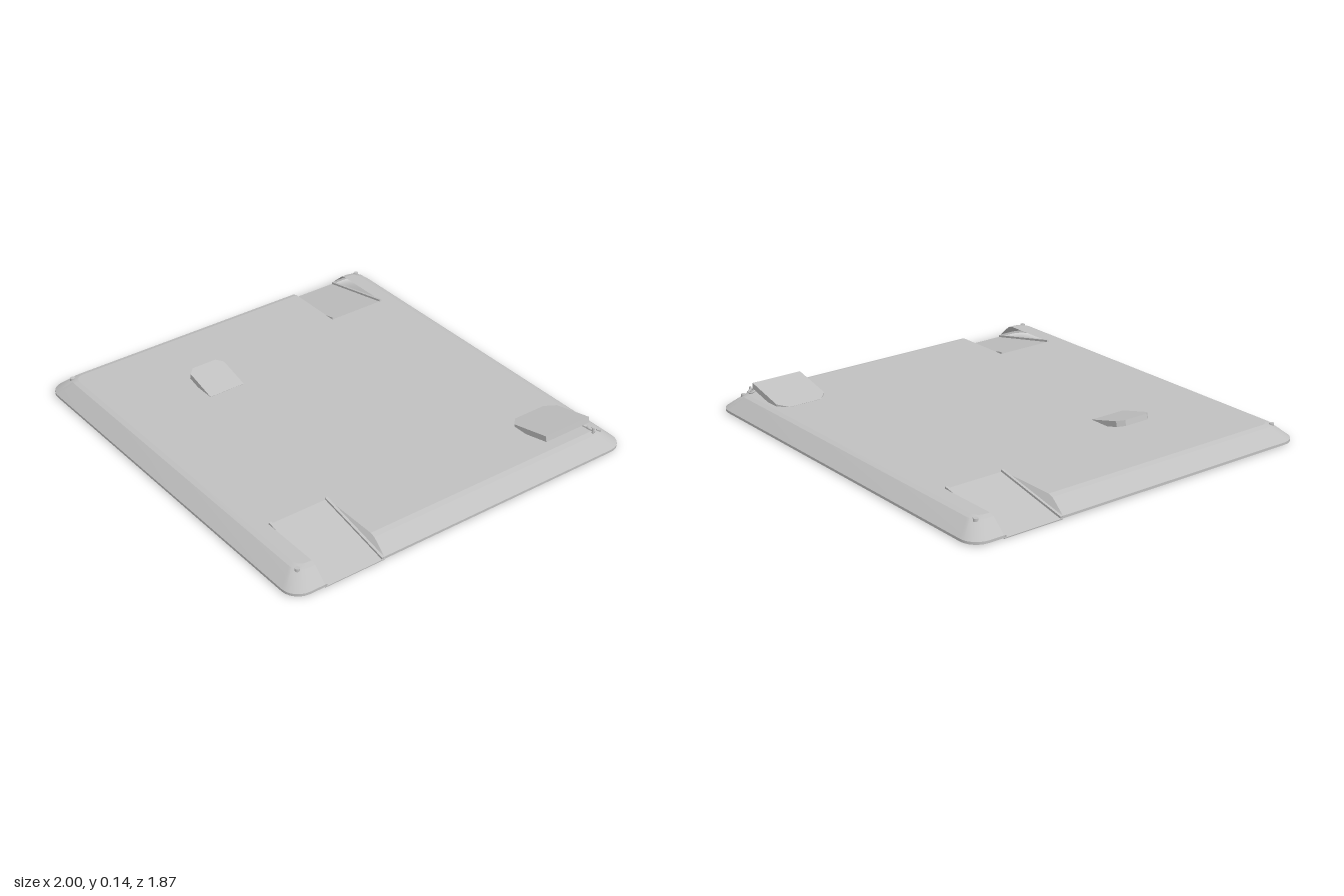
import * as THREE from 'three';
import { toCreasedNormals } from 'three/addons/utils/BufferGeometryUtils.js';

const N0 = 0.465, N1 = 0.775, NX = 0.6; // side notches: z range and depth
const TOP = 0.09;

export function createModel() {
  const model = new THREE.Group();
  const grey = new THREE.MeshStandardMaterial({ color: 0xc0c0c0, side: THREE.DoubleSide });
  grey.name = 'grey';

  const add = (parent, name, geometry, x = 0, y = 0, z = 0) => {
    const mesh = new THREE.Mesh(geometry, grey);
    mesh.name = name;
    mesh.position.set(x, y, z);
    parent.add(mesh);
    return mesh;
  };

  // Rounded rectangle outline with extra points at both notches
  const ring = (w, d, r) => {
    const pts = [];
    for (let k = 0; k < 4; k++) {
      const sx = k === 0 || k === 3 ? 1 : -1, sz = k < 2 ? 1 : -1;
      for (let i = 0; i <= 6; i++) {
        const a = (k + i / 6) * Math.PI / 2;
        pts.push([sx * (w - r) + r * Math.cos(a), sz * (d - r) + r * Math.sin(a)]);
      }
      if (k === 1) pts.push([-w, -N0], [-w, -N1]);
      if (k === 3) pts.push([w, N0], [w, N1]);
    }
    return pts;
  };

  // Sloping skirt: rings lofted from the rim up to the top plate
  const levels = [[1, 0.937, 0.085, 0.01], [1, 0.937, 0.085, 0.022],
    [0.93, 0.867, 0.06, 0.083], [0.905, 0.843, 0.045, TOP]];
  const rings = levels.map(([w, d, r, y]) => ring(w, d, r).map(([x, z]) => [x, y, z]));
  const verts = [];
  for (let l = 0; l < rings.length - 1; l++) {
    const lo = rings[l], hi = rings[l + 1];
    for (let i = 0; i < lo.length; i++) {
      if (i === 14 || i === 30) continue; // notch openings
      const j = (i + 1) % lo.length;
      verts.push(...lo[i], ...hi[i], ...hi[j], ...lo[i], ...hi[j], ...lo[j]);
    }
  }
  const skirt = new THREE.BufferGeometry();
  skirt.setAttribute('position', new THREE.Float32BufferAttribute(verts, 3));
  add(model, 'skirt', toCreasedNormals(skirt, 0.4));

  // Top plate with the two notches cut in
  const outline = [];
  ring(0.905, 0.843, 0.045).forEach(([x, z], i) => {
    outline.push(new THREE.Vector2(x, -z));
    if (i === 14) outline.push(new THREE.Vector2(-NX, N0), new THREE.Vector2(-NX, N1));
    if (i === 30) outline.push(new THREE.Vector2(NX, -N0), new THREE.Vector2(NX, -N1));
  });
  add(model, 'topPlate', new THREE.ShapeGeometry(new THREE.Shape(outline)).rotateX(-Math.PI / 2), 0, TOP, 0);

  // Ramp with curbs and an end wall in each notch
  const zMid = (N0 + N1) / 2, width = N1 - N0;
  for (const turn of [0, Math.PI]) {
    const notch = new THREE.Group();
    notch.name = turn ? 'rightNotch' : 'leftNotch';
    notch.rotation.y = turn;
    model.add(notch);
    add(notch, 'endWall', new THREE.BoxGeometry(0.006, 0.084, width), NX, 0.047, zMid);
    const slope = -Math.atan2(0.08, 0.4), len = Math.hypot(0.08, 0.4);
    add(notch, 'ramp', new THREE.BoxGeometry(len, 0.005, width), 0.8, 0.048, zMid).rotation.z = slope;
    for (const z of [N0 + 0.006, N1 - 0.006])
      add(notch, 'curb', new THREE.BoxGeometry(len, 0.014, 0.012), 0.798, 0.054, z).rotation.z = slope;
  }

  // Tilted flap: chamfers at the hinge end (a) and the raised end (b)
  const flap = (name, L, w, t, a, b, x, z, tilt, turn) => {
    const h = w / 2;
    const shape = new THREE.Shape([[a, -h], [L - b, -h], [L, b - h], [L, h - b],
      [L - b, h], [a, h], [0, h - a], [0, a - h]].map(p => new THREE.Vector2(...p)));
    const geo = new THREE.ExtrudeGeometry(shape, { depth: t, bevelEnabled: false });
    geo.rotateX(Math.PI / 2);
    add(model, name, geo, x, TOP + 0.001, z).rotation.set(0, turn, tilt);
  };
  flap('frontFlap', 0.2, 0.19, 0.027, 0.001, 0.03, -0.375, 0.325, 0.25, Math.PI);
  flap('backFlap', 0.26, 0.265, 0.028, 0.045, 0.001, 0.62, -0.688, 0.22, 0);

  // Small latch beside the back flap
  const latch = new THREE.Group();
  latch.name = 'latch';
  latch.position.set(0.895, 0.1, -0.815);
  model.add(latch);
  add(latch, 'latchRing', new THREE.TorusGeometry(0.016, 0.005, 8, 20).rotateX(1.2));
  add(latch, 'latchArm', new THREE.BoxGeometry(0.07, 0.008, 0.012), -0.005, 0, 0.008).rotation.set(0, 0.5, -0.3);
  add(latch, 'latchPin', new THREE.CylinderGeometry(0.006, 0.006, 0.04, 12), 0.022, -0.006, 0.005);

  // Corner studs
  for (const sx of [-1, 1])
    for (const sz of [-1, 1])
      add(model, 'cornerStud', new THREE.CylinderGeometry(0.012, 0.012, 0.014, 16), sx * 0.91, 0.082, sz * 0.852);

  // Thin ribs under the plate
  for (const z of [-0.17, -0.37])
    add(model, 'underRib', new THREE.BoxGeometry(0.2, 0.008, 0.008), 0.45, TOP - 0.005, z);

  return model;
}
